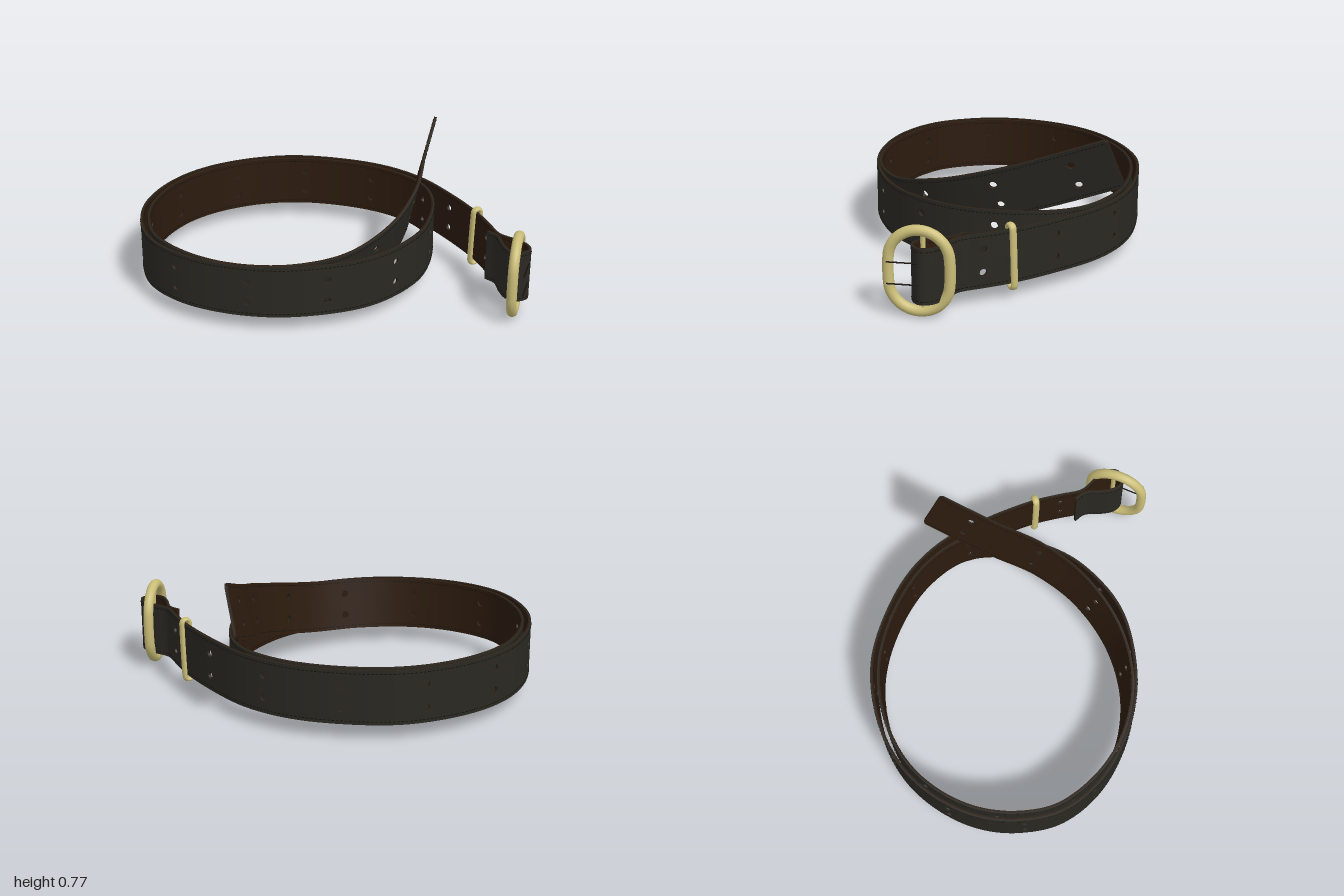
import * as THREE from 'three';
import { mergeGeometries } from 'three/addons/utils/BufferGeometryUtils.js';

const HALF_W = 0.1475, THICK = 0.008, MID = 0.238;

// Centre line of the strap: folded end, outer turn, inner turn, lifted tip (x, z, y)
const path = new THREE.CatmullRomCurve3([
  [0.722, 0.58], [0.736, 0.65], [0.7, 0.74], [0.682, 0.82], [0.705, 0.872], [0.775, 0.877],
  [0.803, 0.82], [0.783, 0.73], [0.754, 0.64], [0.782, 0.5], [0.81, 0.35], [0.825, 0.08],
  [0.81, -0.19], [0.74, -0.41], [0.61, -0.61], [0.35, -0.85], [0.12, -0.95], [-0.14, -0.987], [-0.36, -0.955],
  [-0.57, -0.855], [-0.74, -0.705], [-0.85, -0.52], [-0.902, -0.29], [-0.84, -0.03], [-0.65, 0.23],
  [-0.39, 0.41], [0, 0.508], [0.35, 0.42], [0.56, 0.26], [0.71, 0.06], [0.765, -0.14],
  [0.71, -0.38], [0.57, -0.6], [0.34, -0.81], [0.11, -0.915], [-0.14, -0.95], [-0.35, -0.92], [-0.54, -0.83],
  [-0.7, -0.69], [-0.81, -0.51], [-0.863, -0.29], [-0.8, -0.03, 0.236], [-0.65, 0.19, 0.236], [-0.4, 0.358, 0.242],
  [-0.1, 0.42, 0.265], [0.2, 0.365, 0.335], [0.44, 0.225, 0.42], [0.65, 0.01, 0.515], [0.9, -0.235, 0.64],
].map(([x, z, y = MID]) => new THREE.Vector3(x, y, z)));
path.arcLengthDivisions = 3000;
const LENGTH = path.getLength();

// Frame at distance s along the strap; the tip half-turn leans outwards
function frameAt(s) {
  const u = THREE.MathUtils.clamp(s / LENGTH, 0, 1);
  const p = path.getPointAt(u), t = path.getTangentAt(u);
  const up = new THREE.Vector3(0, 1, 0);
  const lean = 0.23 * THREE.MathUtils.smoothstep(s, LENGTH - 2.4, LENGTH - 1.2);
  up.addScaledVector(new THREE.Vector3().crossVectors(t, up).normalize(), lean);
  const w = up.addScaledVector(t, -up.dot(t)).normalize();
  return { p, t, w, n: new THREE.Vector3().crossVectors(t, w) };
}

// Bends flat geometry (x along, y across, z through the strap) onto the path
function bend(geo) {
  const pos = geo.attributes.position, nor = geo.attributes.normal, cache = new Map();
  for (let i = 0; i < pos.count; i++) {
    const s = pos.getX(i);
    if (!cache.has(s)) cache.set(s, frameAt(s));
    const { p, t, w, n } = cache.get(s);
    const q = p.clone().addScaledVector(w, pos.getY(i)).addScaledVector(n, pos.getZ(i));
    const d = new THREE.Vector3().addScaledVector(t, nor.getX(i))
      .addScaledVector(w, nor.getY(i)).addScaledVector(n, nor.getZ(i));
    pos.setXYZ(i, q.x, q.y, q.z);
    nor.setXYZ(i, d.x, d.y, d.z);
  }
  return geo;
}

// Pairs of punched holes at even spacing from near the buckle to the tip
function holeStations() {
  let first = 0.6;
  while (path.getPointAt(first / LENGTH).z > 0.51) first += 0.005;
  const last = LENGTH - 0.225, count = Math.round((last - first) / 0.43);
  return Array.from({ length: count + 1 }, (_, i) => first + (last - first) * i / count);
}

function plainPanel(a, b, z) {
  const g = new THREE.BoxGeometry(b - a, HALF_W * 2, THICK, Math.ceil((b - a) / 0.012), 1, 1);
  return g.translate((a + b) / 2, 0, z + THICK / 2).toNonIndexed();
}

function extrudePanel(shape, z) {
  const g = new THREE.ExtrudeGeometry(shape, { depth: THICK, bevelEnabled: false, curveSegments: 9 });
  return g.translate(0, 0, z);
}

function holePanel(s, z) {
  const a = s - 0.03, b = s + 0.03;
  const shape = new THREE.Shape([[a, -HALF_W], [b, -HALF_W], [b, HALF_W], [a, HALF_W]]
    .map(([x, y]) => new THREE.Vector2(x, y)));
  for (const y of [-0.062, 0.062]) {
    shape.holes.push(new THREE.Path().absarc(s, y, 0.02, 0, Math.PI * 2, true));
  }
  return extrudePanel(shape, z);
}

// Rounded tip of the strap
function tipPanel(z) {
  const r = 0.03, a = LENGTH - r;
  const shape = new THREE.Shape();
  shape.moveTo(a, -HALF_W);
  shape.absarc(a, -HALF_W + r, r, -Math.PI / 2, 0, false);
  shape.absarc(a, HALF_W - r, r, 0, Math.PI / 2, false);
  return extrudePanel(shape, z);
}

// One leather layer, from plain stretches, punched panels and the tip
function strapLayer(z) {
  const parts = [];
  let from = 0;
  for (const s of holeStations()) {
    parts.push(plainPanel(from, s - 0.03, z), holePanel(s, z));
    from = s + 0.03;
  }
  parts.push(plainPanel(from, LENGTH - 0.03, z), tipPanel(z));
  return bend(mergeGeometries(parts));
}

// Dashed seams along both edges, on both faces
function stitching() {
  const parts = [];
  for (let s = 0.02; s < LENGTH - 0.03; s += 0.022) {
    for (const y of [-1, 1]) {
      parts.push(new THREE.BoxGeometry(0.013, 0.004, THICK * 2 + 0.004).translate(s, y * (HALF_W - 0.018), 0));
    }
  }
  return bend(mergeGeometries(parts));
}

// Closed tube along an upright stadium outline
function stadiumRing(r, straight, tube) {
  const pts = [];
  for (const side of [1, -1]) {
    for (let i = 0; i <= 10; i++) {
      const a = Math.PI * i / 10 + (side < 0 ? Math.PI : 0);
      pts.push(new THREE.Vector3(r * Math.cos(a), r * Math.sin(a) + side * straight, 0));
    }
  }
  return new THREE.TubeGeometry(new THREE.CatmullRomCurve3(pts, true), 120, tube, 14, true);
}

export function createModel() {
  const model = new THREE.Group();
  const paint = (color) => new THREE.MeshStandardMaterial({ color });
  const black = paint(0x2a2822), brown = paint(0x2c1b0e), thread = paint(0x15110c), brass = paint(0xcabd78);
  const add = (parent, name, geo, mat) => {
    const mesh = new THREE.Mesh(geo, mat);
    mesh.name = name;
    parent.add(mesh);
    return mesh;
  };

  // Strap
  add(model, 'strapOuter', strapLayer(0), black);
  add(model, 'strapLining', strapLayer(-THICK), brown);
  add(model, 'stitching', stitching(), thread);

  // Buckle with its bar and two prongs
  const buckle = new THREE.Group();
  buckle.name = 'buckle';
  buckle.position.set(0.718, 0.241, 0.845);
  buckle.rotation.y = Math.PI / 4;
  model.add(buckle);
  add(buckle, 'buckleFrame', stadiumRing(0.154, 0.059, 0.028), brass);
  add(buckle, 'buckleBar', new THREE.CylinderGeometry(0.013, 0.013, 0.42, 14), brass).position.x = 0.022;
  for (const y of [-0.048, 0.066]) {
    const rod = new THREE.LineCurve3(new THREE.Vector3(0.02, y, 0.066), new THREE.Vector3(-0.15, y - 0.006, 0.056));
    add(buckle, 'prong', new THREE.TubeGeometry(rod, 1, 0.004, 8), thread);
  }

  // Keeper loop around the strap
  const keeper = add(model, 'keeper', stadiumRing(0.022, 0.15, 0.013), brass);
  keeper.scale.z = 1.5;
  keeper.position.set(0.809, 0.235, 0.355);
  keeper.rotation.set(0.04, -0.08, 0);
  return model;
}
